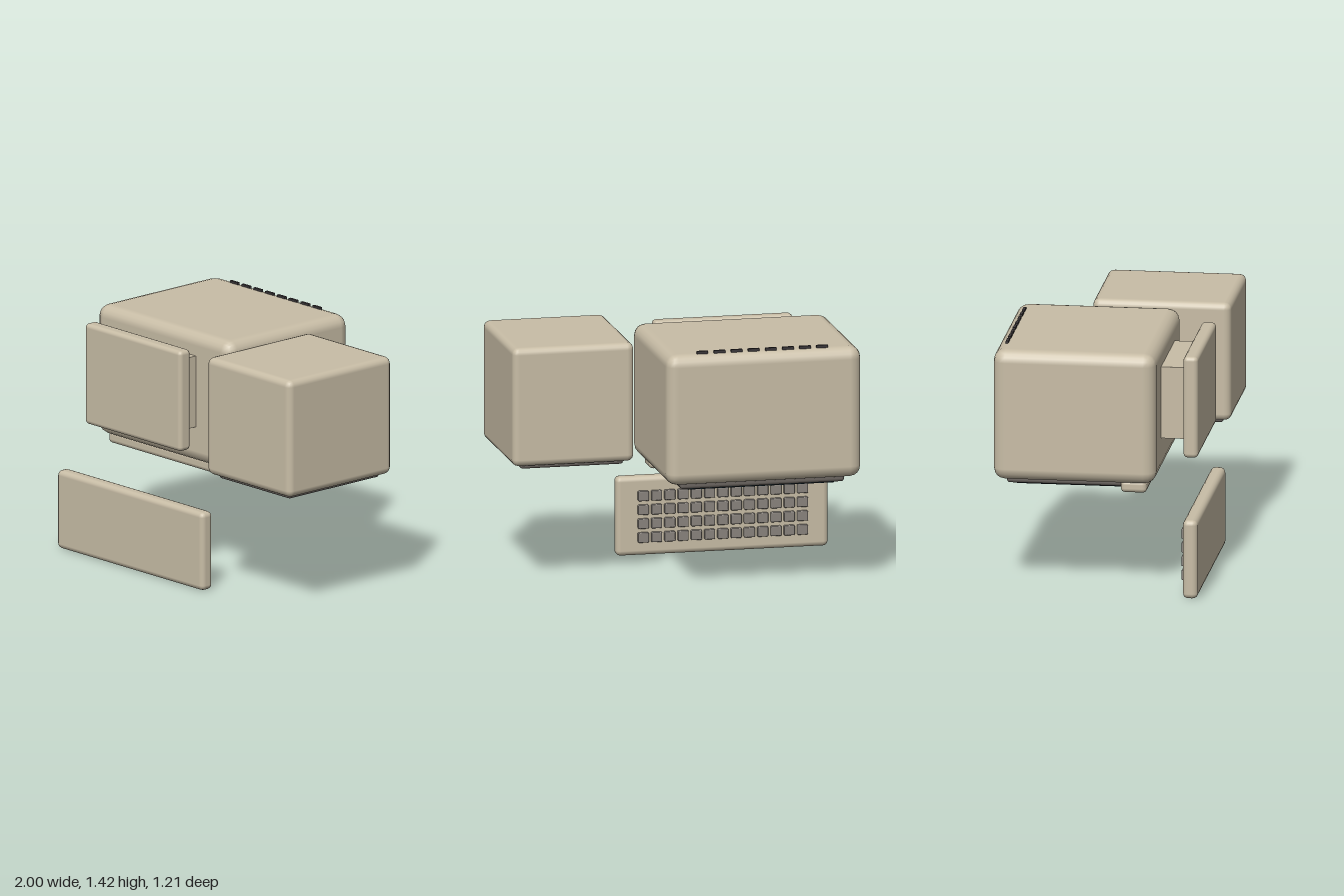
import * as THREE from 'three';
import { RoundedBoxGeometry } from 'three/addons/geometries/RoundedBoxGeometry.js';

const paint = (color) => new THREE.MeshStandardMaterial({ color });
const beige = paint(0xc8bda6);
const darkTrim = paint(0x6b6560);
const black = paint(0x3a3638);
const keyGrey = paint(0x8a847e);
const glass = paint(0x1f3540);
const green = paint(0x35b27a);

// Box given by its extents on each axis; a radius rounds its edges.
function block(name, material, [x0, x1], [y0, y1], [z0, z1], radius = 0, segments = 2) {
  const size = [x1 - x0, y1 - y0, z1 - z0];
  const geometry = radius
    ? new RoundedBoxGeometry(...size, segments, radius)
    : new THREE.BoxGeometry(...size);
  const mesh = new THREE.Mesh(geometry, material);
  mesh.name = name;
  mesh.position.set((x0 + x1) / 2, (y0 + y1) / 2, (z0 + z1) / 2);
  return mesh;
}

// Short upright cylinder hanging below the control strip.
function peg(name, material, x, radius) {
  const mesh = new THREE.Mesh(new THREE.CylinderGeometry(radius, radius, 0.03, 16), material);
  mesh.name = name;
  mesh.position.set(x, 0.59, 0.2);
  return mesh;
}

function createMonitor() {
  const monitor = new THREE.Group();
  monitor.name = 'monitor';
  monitor.add(
    block('monitorCase', beige, [-0.95, 0.19], [0.645, 1.41], [-0.6, 0.335], 0.07),
    // Screen side faces down
    block('screenBezel', darkTrim, [-0.86, 0.1], [0.613, 0.67], [-0.53, 0.2], 0.02),
    block('screen', glass, [-0.81, 0.05], [0.6, 0.63], [-0.48, 0.15], 0.006),
    block('controlStrip', beige, [-0.9, 0.13], [0.588, 0.66], [0.13, 0.28], 0.025),
    peg('powerLight', green, 0, 0.02),
    // Swivel stand
    block('standNeck', beige, [-0.68, -0.09], [0.86, 1.28], [0.32, 0.49]),
    block('standBase', beige, [-0.79, 0.025], [0.775, 1.37], [0.475, 0.56], 0.025)
  );
  for (const x of [-0.715, -0.645, -0.575]) monitor.add(peg('controlKnob', black, x, 0.021));

  // Row of ventilation slots
  for (let i = 0; i < 8; i++) {
    const x = -0.725 + i * 0.1;
    monitor.add(block('vent', black, [x - 0.033, x + 0.033], [1.4, 1.422], [-0.548, -0.532]));
  }
  return monitor;
}

function createDriveUnit() {
  const drive = new THREE.Group();
  drive.name = 'driveUnit';
  drive.add(
    block('driveCase', beige, [0.29, 1], [0.712, 1.405], [-0.19, 0.605], 0.04),
    block('drivePlate', darkTrim, [0.345, 0.945], [0.69, 0.73], [-0.14, 0.555], 0.015)
  );
  // Two disk slots, each with a narrow slit
  for (const z of [0.29, 0.095]) {
    drive.add(
      block('diskSlot', black, [0.45, 0.845], [0.682, 0.7], [z - 0.032, z + 0.032]),
      block('diskSlit', glass, [0.475, 0.82], [0.68, 0.69], [z - 0.008, z + 0.008])
    );
  }
  return drive;
}

function createKeyboard() {
  const keyboard = new THREE.Group();
  keyboard.name = 'keyboard';
  keyboard.add(block('keyboardCase', beige, [-1, 0.24], [0, 0.462], [0.5, 0.585], 0.03));
  // Keys face the back
  for (let row = 0; row < 4; row++) {
    for (let col = 0; col < 13; col++) {
      const x = -0.845 + col * 0.0775;
      const y = 0.108 + row * 0.081;
      keyboard.add(block('key', keyGrey, [x - 0.031, x + 0.031], [y - 0.029, y + 0.029], [0.477, 0.515], 0.006, 1));
    }
  }
  return keyboard;
}

export function createModel() {
  const model = new THREE.Group();
  model.name = 'desktopComputer';
  model.add(createMonitor(), createDriveUnit(), createKeyboard());
  return model;
}
